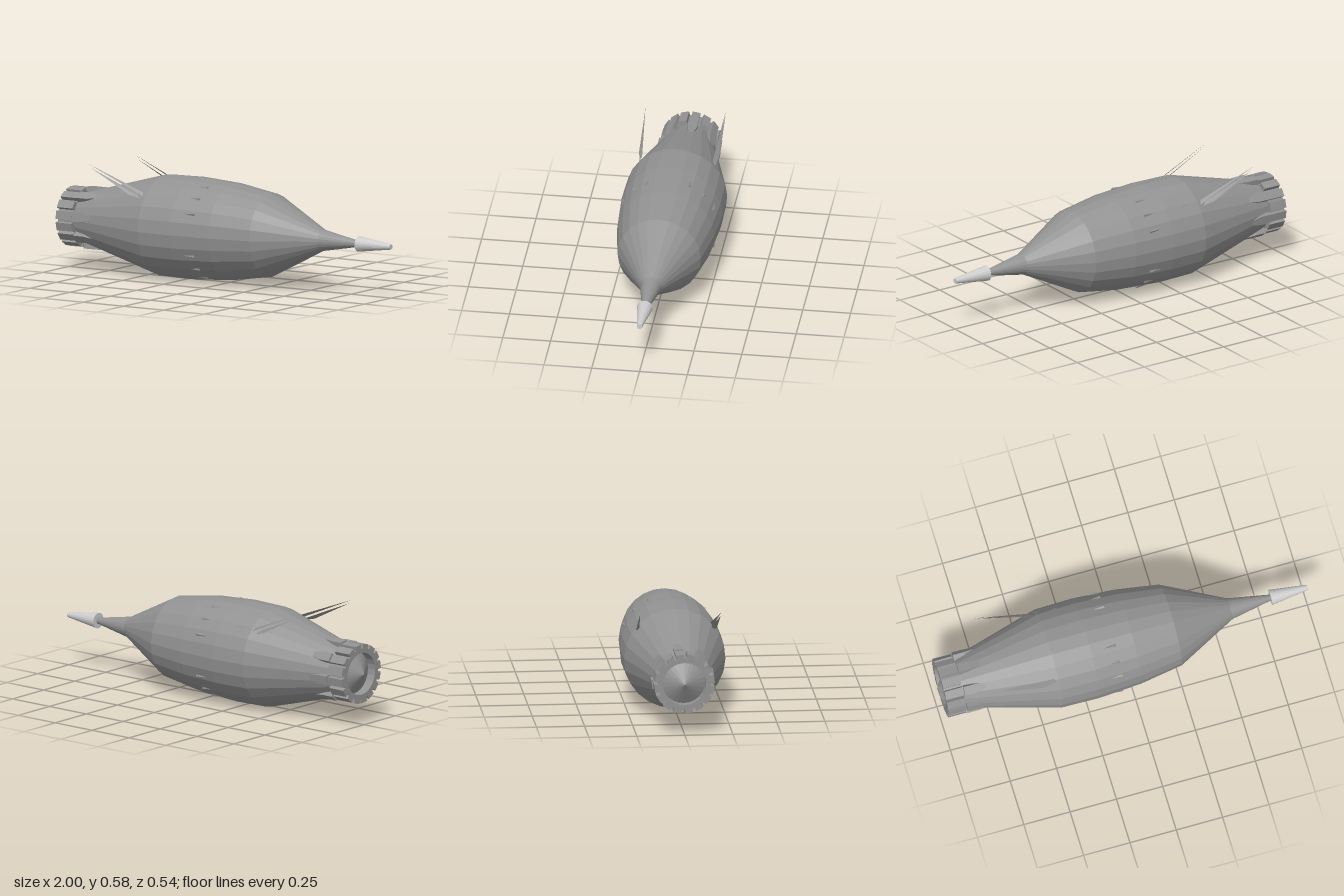
import * as THREE from 'three';
import { ConvexGeometry } from 'three/addons/geometries/ConvexGeometry.js';

const grey = new THREE.MeshStandardMaterial({ color: 0x929292, flatShading: true });
grey.name = 'hull grey';
const pale = new THREE.MeshStandardMaterial({ color: 0xcccccc, flatShading: true });
pale.name = 'pale tip grey';

function addMesh(parent, name, geometry, material) {
  const mesh = new THREE.Mesh(geometry, material);
  mesh.name = name;
  parent.add(mesh);
  return mesh;
}

// Turned part along +x; profile is [x, radius] from tail to nose
function turned(profile, sides) {
  const points = profile.map(([x, r]) => new THREE.Vector2(r, x));
  return new THREE.LatheGeometry(points, sides).rotateY(0.02).rotateZ(-Math.PI / 2);
}

// Group turned about the long axis, angle measured from the top towards +z
function radial(parent, degrees) {
  const pivot = new THREE.Group();
  pivot.rotation.x = THREE.MathUtils.degToRad(degrees);
  parent.add(pivot);
  return pivot;
}

export function createModel() {
  const model = new THREE.Group();
  const ship = new THREE.Group();
  ship.name = 'ship';
  ship.position.y = 0.268;
  model.add(ship);

  // Faceted hull and the pale nose cap
  addMesh(ship, 'hull', turned([
    [-0.9, 0], [-0.9, 0.128], [-0.8, 0.155], [-0.4, 0.264], [-0.2, 0.268],
    [0.03, 0.254], [0.26, 0.218], [0.58, 0.056], [0.82, 0.012],
  ], 24), grey);
  addMesh(ship, 'noseTip', turned([[0.8, 0], [0.8, 0.041], [1, 0.014], [1, 0]], 20), pale);

  // Toothed engine ring
  const gear = new THREE.Shape();
  const teeth = 16;
  for (let i = 0; i < teeth; i++) {
    [[0, 0.136], [0.22, 0.136], [0.26, 0.158], [0.96, 0.158]].forEach(([t, r], k) => {
      const a = ((i + t) / teeth) * Math.PI * 2;
      if (i + k === 0) gear.moveTo(r * Math.cos(a), r * Math.sin(a));
      else gear.lineTo(r * Math.cos(a), r * Math.sin(a));
    });
  }
  gear.closePath();
  gear.holes.push(new THREE.Path().absarc(0, 0, 0.112, 0, Math.PI * 2, true));
  const ringGeometry = new THREE.ExtrudeGeometry(gear, { depth: 0.096, bevelEnabled: false, curveSegments: 12 });
  addMesh(ship, 'engineRing', ringGeometry.rotateY(Math.PI / 2).translate(-0.981, 0, 0), grey);

  // Pointed exhaust plug inside the ring
  addMesh(ship, 'exhaustPlug', turned([[-1, 0], [-0.98, 0.032], [-0.93, 0.115], [-0.9, 0.115]], 24), grey);

  // Eight tapered blocks around the tail
  const block = new THREE.Shape([
    [-0.88, -0.024], [-0.82, -0.024], [-0.76, -0.012],
    [-0.76, 0.012], [-0.82, 0.024], [-0.88, 0.024],
  ].map(([x, y]) => new THREE.Vector2(x, y)));
  const blockGeometry = new THREE.ExtrudeGeometry(block, { depth: 0.062, bevelEnabled: false })
    .rotateX(-Math.PI / 2).translate(0, 0.101, 0);
  for (let i = 0; i < 8; i++) {
    addMesh(radial(ship, 37 + i * 45), 'tailBlock', blockGeometry, grey);
  }

  // Small wedge scoops around the middle
  const scoopGeometry = new THREE.ConeGeometry(0.008, 0.085, 4).rotateZ(Math.PI / 2);
  for (const side of [-1, 1]) {
    for (const angle of [25, 45, 65, 115, 135, 155]) {
      addMesh(radial(ship, side * angle), 'scoop', scoopGeometry, grey).position.set(-0.108, 0.26, 0);
    }
    const small = addMesh(radial(ship, side * 46), 'smallScoop', scoopGeometry, grey);
    small.position.set(-0.32, 0.264, 0);
    small.scale.setScalar(0.35);
  }

  // Swept pair of slim blades on each shoulder
  const blades = [
    [[-0.74, 0.585, 0.21], [-0.41, 0.44, 0.198], [-0.42, 0.46, 0.184], [-0.46, 0.462, 0.2]],
    [[-0.725, 0.565, 0.21], [-0.43, 0.43, 0.198], [-0.49, 0.445, 0.21], [-0.45, 0.447, 0.188]],
  ];
  for (const side of [-1, 1]) {
    for (const corners of blades) {
      const points = corners.map(([x, y, z]) => new THREE.Vector3(x, y, z * side));
      addMesh(model, side > 0 ? 'frontBlade' : 'backBlade', new ConvexGeometry(points), grey);
    }
  }
  return model;
}
